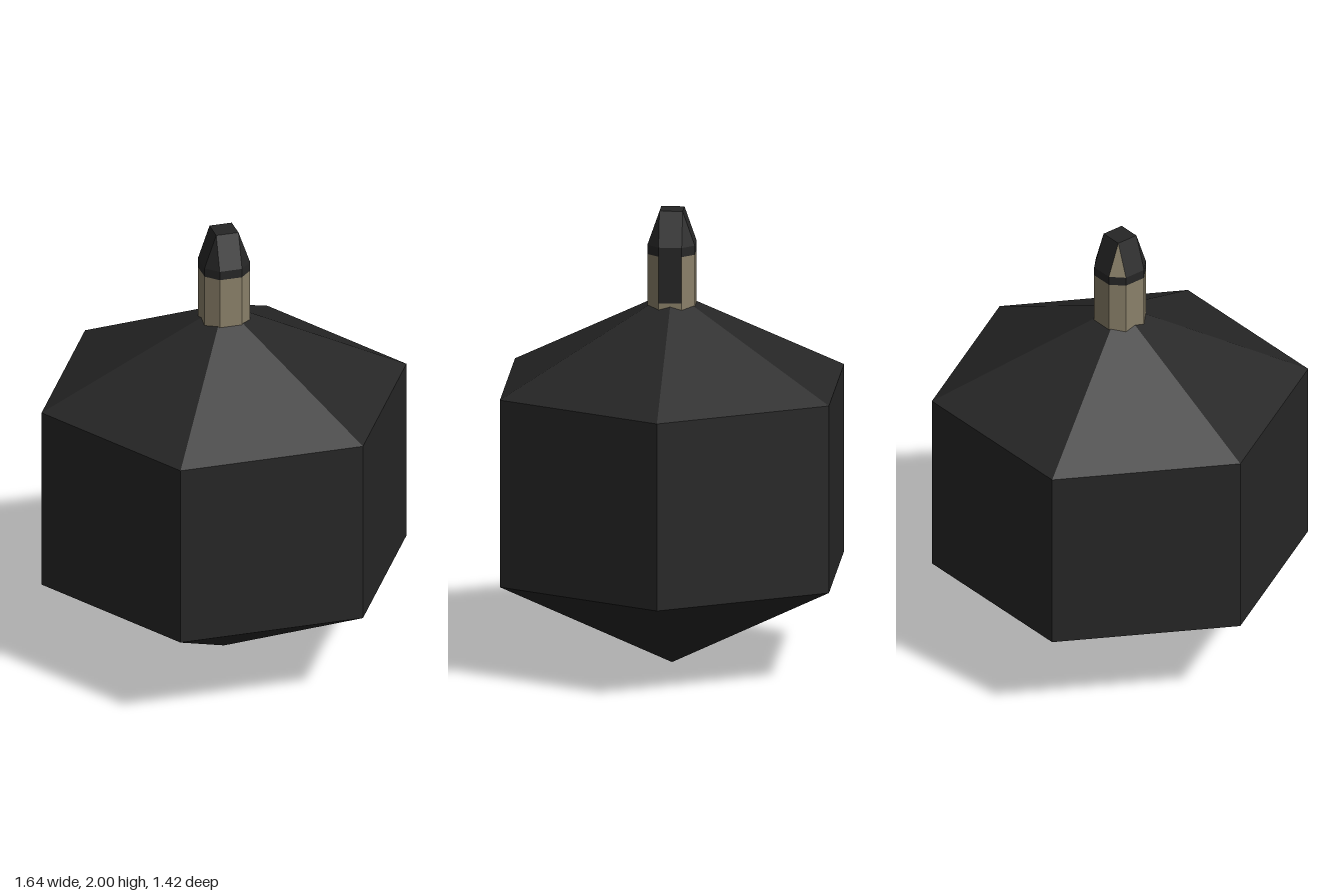
import * as THREE from 'three';

const charcoal = new THREE.MeshStandardMaterial({ color: 0x262626, flatShading: true });
charcoal.name = 'charcoal';
const khaki = new THREE.MeshStandardMaterial({ color: 0x8a8069, flatShading: true });
khaki.name = 'khaki';

// Chamfered-square ring as [x, z], anticlockwise from above; side 0 faces +x
const W = 0.1025, C = 0.05;
const ring = [[W, C], [W, -C], [C, -W], [-C, -W], [-W, -C], [-W, C], [-C, W], [C, W]];
// The same ring drawn in to a small square
const topRing = ring.map(([x, z]) => [Math.sign(x) * C, Math.sign(z) * C]);

// Wall between two rings; materials = [main, accent], accentSide takes the second
function band(name, lower, y0, upper, y1, materials, accentSide = -1) {
  const pos = [];
  const geo = new THREE.BufferGeometry();
  for (let i = 0; i < 8; i++) {
    const j = (i + 1) % 8;
    const a = [lower[i][0], y0, lower[i][1]], b = [lower[j][0], y0, lower[j][1]];
    const c = [upper[j][0], y1, upper[j][1]], d = [upper[i][0], y1, upper[i][1]];
    const start = pos.length / 3;
    pos.push(...a, ...b, ...c);
    // skip the second triangle where the upper edge shrinks to a point
    if (c[0] !== d[0] || c[2] !== d[2]) pos.push(...a, ...c, ...d);
    geo.addGroup(start, pos.length / 3 - start, i === accentSide ? 1 : 0);
  }
  geo.setAttribute('position', new THREE.Float32BufferAttribute(pos, 3));
  geo.computeVertexNormals();
  const mesh = new THREE.Mesh(geo, materials);
  mesh.name = name;
  return mesh;
}

export function createModel() {
  const model = new THREE.Group();
  model.name = 'hexagonalVessel';

  // Six-sided body, pointed at both ends
  const profile = [[0, 0], [0.82, 0.41], [0.82, 1.235], [0, 1.64]].map(p => new THREE.Vector2(...p));
  const body = new THREE.Mesh(new THREE.LatheGeometry(profile, 6, Math.PI / 2), charcoal);
  body.name = 'body';
  model.add(body);

  // Neck with one dark side, and the tapered cap with one pale corner
  const neck = new THREE.Group();
  neck.name = 'neck';
  neck.add(
    band('neckFoot', ring, 1.56, ring, 1.605, [khaki, charcoal]),
    band('neckWall', ring, 1.605, ring, 1.81, [khaki, charcoal], 0),
    band('capRim', ring, 1.81, ring, 1.85, [charcoal, khaki]),
    band('capTaper', ring, 1.85, topRing, 2, [charcoal, khaki], 3)
  );
  const capTop = new THREE.Mesh(new THREE.PlaneGeometry(2 * C, 2 * C).rotateX(-Math.PI / 2), charcoal);
  capTop.name = 'capTop';
  capTop.position.y = 2;
  neck.add(capTop);
  model.add(neck);

  return model;
}
